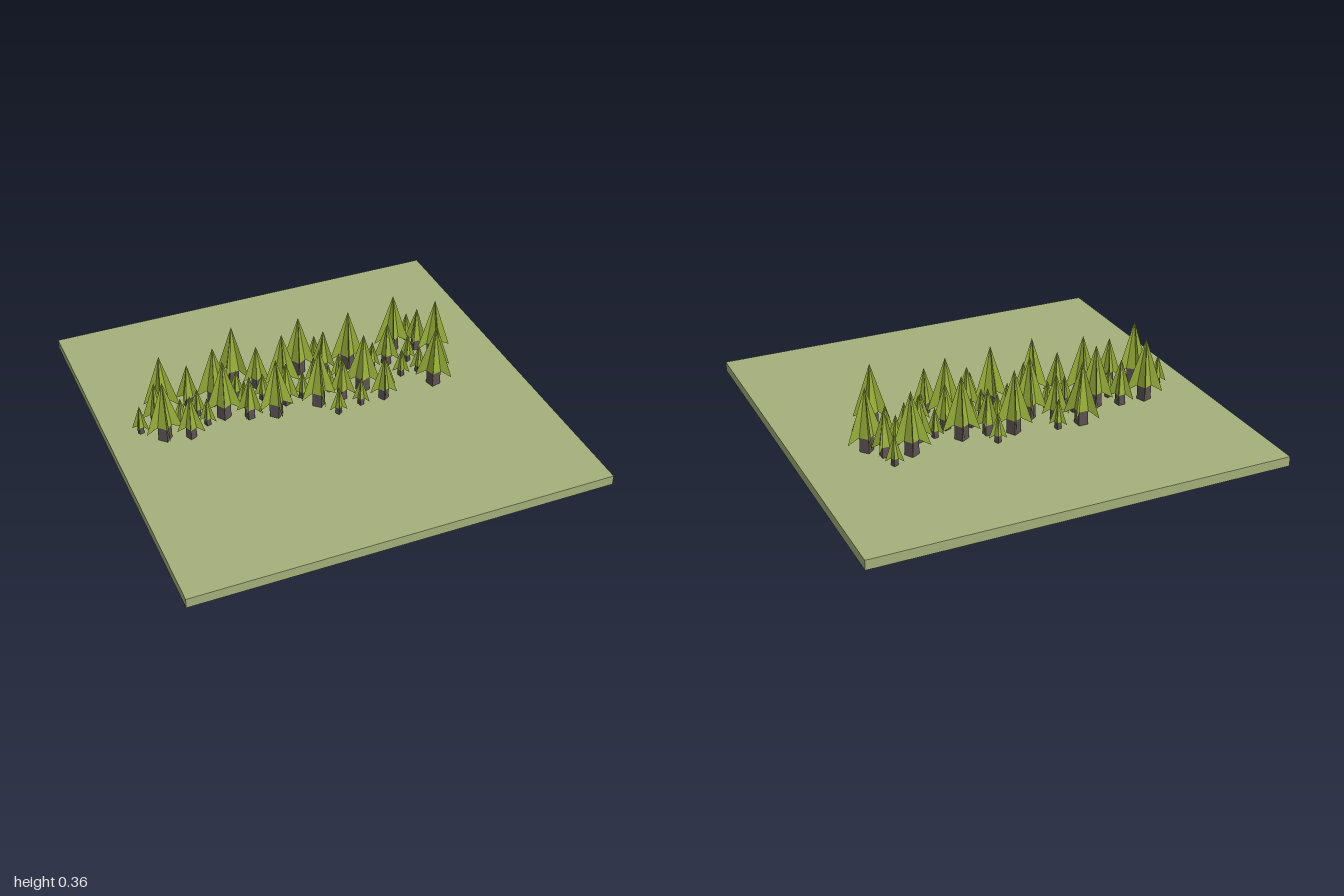
import * as THREE from 'three';
import { mergeGeometries } from 'three/addons/utils/BufferGeometryUtils.js';

const GROUND = 0.047; // slab thickness
const R = 0.033;      // trunk corner radius of a full-size tree
const TRUNK = 0.07;   // trunk height
const TOP = 0.313;    // tree height

// [x, z, turn in degrees] for each tree, grouped by size
const LARGE = [
  [-0.70, -0.23, 20], [-0.75, -0.03, 45], [-0.45, -0.20, 25], [-0.445, -0.08, 30],
  [-0.31, -0.33, 0], [-0.215, 0, 45], [-0.115, -0.18, 35], [0, 0, 45],
  [0.01, -0.28, 30], [0.25, -0.235, 30], [0.24, -0.03, 20], [0.51, -0.28, 30],
  [0.68, -0.165, 42], [0.575, 0.055, 15],
];
const MEDIUM = [
  [-0.755, -0.15, 20], [-0.57, -0.23, 5], [-0.635, 0.005, 25], [-0.335, -0.03, 10],
  [-0.22, -0.245, 25], [-0.14, -0.065, 20], [0.125, -0.245, 5], [0.12, 0, 20],
  [0.28, -0.12, 25], [0.305, 0.07, 30], [0.435, -0.18, 15], [0.625, -0.245, 0],
  [0.64, -0.045, 20],
];
const SMALL = [
  [-0.84, -0.115, 10], [-0.65, -0.10, 30], [-0.555, -0.14, 20], [-0.535, -0.055, 15],
  [-0.335, -0.21, 5], [-0.33, -0.12, 25], [-0.23, -0.14, 20], [-0.19, -0.33, 10],
  [-0.05, -0.08, 20], [0.04, -0.165, 25], [0.085, -0.085, 10], [0.06, 0.10, 30],
  [0.115, -0.335, 25], [0.165, -0.15, 30], [0.185, 0.075, 10], [0.355, -0.175, 10],
  [0.355, -0.005, 20], [0.46, -0.065, 15], [0.54, -0.165, 20], [0.55, -0.06, 15],
  [0.615, -0.34, 20],
];

// Four thin triangular blades, one along each edge of the foliage core
function bladesGeometry() {
  const outline = new THREE.Shape([
    new THREE.Vector2(0, TOP),
    new THREE.Vector2(R, TRUNK),
    new THREE.Vector2(0.087, 0.039),
  ]);
  const blades = [];
  for (let i = 0; i < 4; i++) {
    blades.push(new THREE.ShapeGeometry(outline).rotateY(i * Math.PI / 2));
  }
  return mergeGeometries(blades);
}

export function createModel() {
  const model = new THREE.Group();
  model.name = 'forestTile';

  const mat = (color, side = THREE.FrontSide) =>
    new THREE.MeshStandardMaterial({ color, side, flatShading: true });
  const grass = mat(0xa4b07a);
  const bark = mat(0x5e5353);
  const leaf = mat(0x9cb33c);
  const thinLeaf = mat(0x9cb33c, THREE.DoubleSide);

  const add = (parent, name, geometry, material) => {
    const mesh = new THREE.Mesh(geometry, material);
    mesh.name = name;
    parent.add(mesh);
  };

  // Ground slab
  add(model, 'ground', new THREE.BoxGeometry(2, GROUND, 2).translate(0, GROUND / 2, 0), grass);

  // Shared tree parts: square trunk, narrow pyramid core, blades
  const trunk = new THREE.CylinderGeometry(R, R, TRUNK, 4).translate(0, TRUNK / 2, 0);
  const core = new THREE.ConeGeometry(R, TOP - TRUNK, 4).translate(0, (TOP + TRUNK) / 2, 0);
  const blades = bladesGeometry();

  // Plant the trees
  for (const [name, scale, spots] of [
    ['largeTree', 1, LARGE], ['mediumTree', 0.74, MEDIUM], ['smallTree', 0.48, SMALL],
  ]) {
    for (const [x, z, turn] of spots) {
      const tree = new THREE.Group();
      tree.name = name;
      add(tree, 'trunk', trunk, bark);
      add(tree, 'foliageCore', core, leaf);
      add(tree, 'foliageBlades', blades, thinLeaf);
      tree.position.set(x, GROUND, z);
      tree.rotation.y = THREE.MathUtils.degToRad(turn - 45);
      tree.scale.setScalar(scale);
      model.add(tree);
    }
  }
  return model;
}
